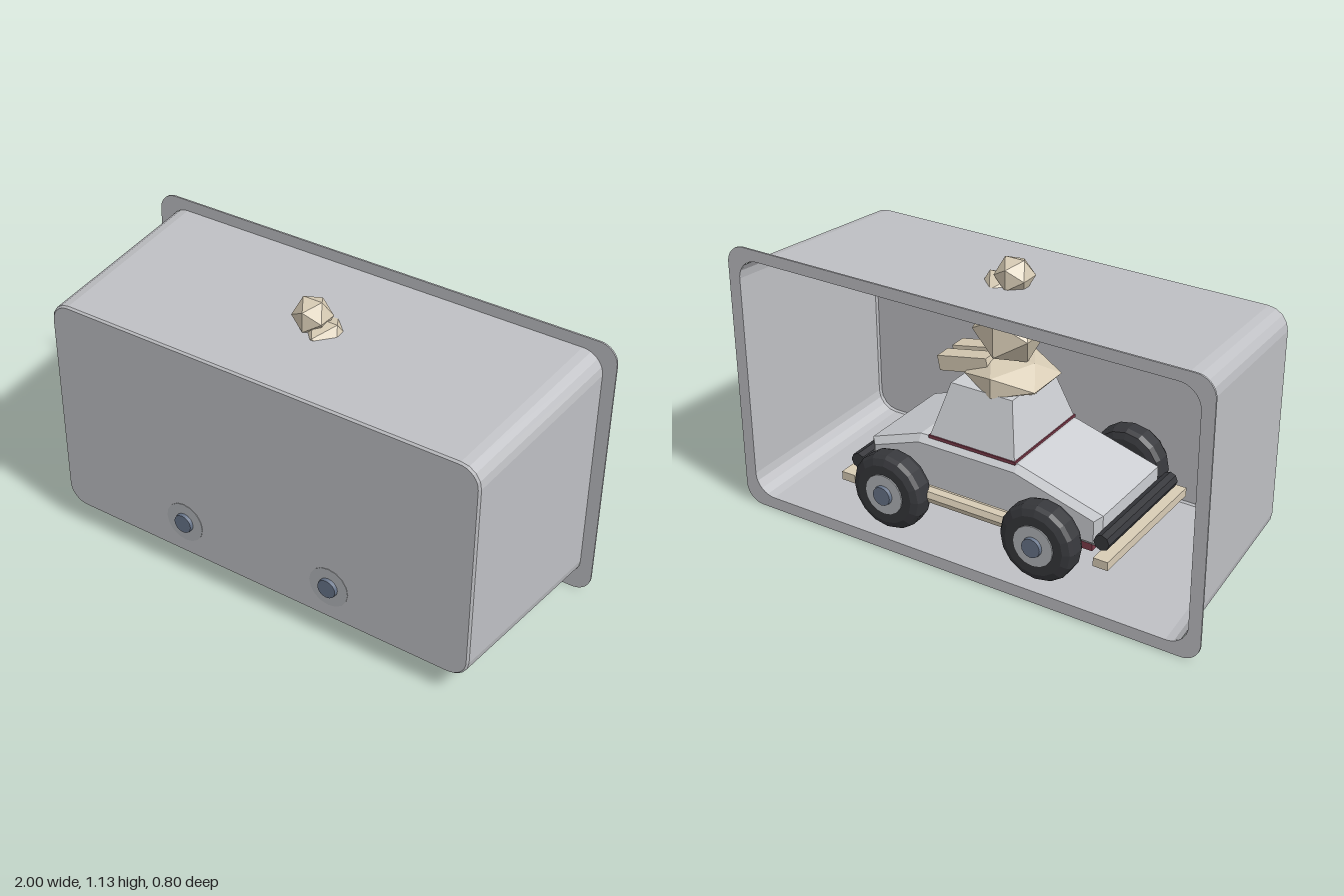
import * as THREE from 'three';

const mat = (name, color, double) => {
  const m = new THREE.MeshStandardMaterial({ color });
  m.name = name;
  if (double) m.side = THREE.DoubleSide;
  return m;
};

// faceted shading
const facet = (g) => {
  const f = g.index ? g.toNonIndexed() : g;
  f.computeVertexNormals();
  return f;
};

function roundedRect(target, w, h, r, cy) {
  const x = w / 2, y0 = cy - h / 2, y1 = cy + h / 2;
  target.moveTo(x, y0 + r);
  target.lineTo(x, y1 - r);
  target.absarc(x - r, y1 - r, r, 0, Math.PI / 2);
  target.absarc(-x + r, y1 - r, r, Math.PI / 2, Math.PI);
  target.absarc(-x + r, y0 + r, r, Math.PI, Math.PI * 1.5);
  target.absarc(x - r, y0 + r, r, Math.PI * 1.5, Math.PI * 2);
  return target;
}

// counter-clockwise rounded loop, always with the same number of points
function loop(w, h, r, cy, z) {
  const pts = [];
  [[1, 1], [-1, 1], [-1, -1], [1, -1]].forEach(([sx, sy], q) => {
    for (let i = 0; i <= 4; i++) {
      const a = (q + i / 4) * Math.PI / 2;
      pts.push([sx * (w / 2 - r) + r * Math.cos(a), cy + sy * (h / 2 - r) + r * Math.sin(a), z]);
    }
  });
  return pts;
}

// walls between loops ordered from back to front
function loft(loops) {
  const n = loops[0].length, index = [];
  for (let k = 0; k < loops.length - 1; k++) {
    for (let i = 0; i < n; i++) {
      const a = k * n + i, b = k * n + (i + 1) % n;
      index.push(a, b, b + n, a, b + n, a + n);
    }
  }
  const g = new THREE.BufferGeometry();
  g.setAttribute('position', new THREE.Float32BufferAttribute(loops.flat(2), 3));
  g.setIndex(index);
  return facet(g);
}

export function createModel() {
  const root = new THREE.Group();
  const M = {
    tray: mat('trayGrey', 0xbfc0c4, true),
    body: mat('bodyGrey', 0xcdcfd3),
    tan: mat('tan', 0xd9cdb6),
    black: mat('rubberBlack', 0x37383c),
    rim: mat('rimGrey', 0xb4b7bb),
    hub: mat('hubBlue', 0x68758a),
    maroon: mat('maroon', 0x7d3b4b),
  };
  const add = (parent, name, geometry, material, x = 0, y = 0, z = 0) => {
    const m = new THREE.Mesh(geometry, material);
    m.name = name;
    m.position.set(x, y, z);
    parent.add(m);
    return m;
  };

  // Tray: tapering walls, closed front, open back with a flat flange
  const tray = new THREE.Group();
  tray.name = 'tray';
  root.add(tray);
  const cy = 0.552;
  add(tray, 'trayWalls', loft([
    loop(1.9, 1.005, 0.085, cy, -0.38),
    loop(1.815, 0.914, 0.08, cy, 0.375),
    loop(1.8, 0.9, 0.075, cy, 0.383),
  ]), M.tray);
  add(tray, 'trayFront', new THREE.ShapeGeometry(roundedRect(new THREE.Shape(), 1.8, 0.9, 0.075, cy), 4), M.tray, 0, 0, 0.383);
  const flange = roundedRect(new THREE.Shape(), 2, 1.1, 0.075, 0.55);
  flange.holes.push(roundedRect(new THREE.Path(), 1.9, 1.005, 0.085, cy));
  add(tray, 'trayFlange', new THREE.ExtrudeGeometry(flange, { depth: 0.007, bevelEnabled: false, curveSegments: 6 }), M.tray, 0, 0, -0.384);

  // Car body: wedge-ended hull with bevelled edges
  const car = new THREE.Group();
  car.name = 'car';
  root.add(car);
  const b = 0.025;
  const profile = new THREE.Shape([
    [-0.485, 0.225], [0.475, 0.225], [0.475, 0.335], [0.27, 0.41], [-0.15, 0.41], [-0.485, 0.315],
  ].map(([x, y]) => new THREE.Vector2(x, y)));
  add(car, 'carBody', new THREE.ExtrudeGeometry(profile, {
    depth: 0.46 - 2 * b, bevelThickness: b, bevelSize: b, bevelSegments: 1,
  }), M.body, 0, 0, -0.23 + b);
  add(car, 'underside', new THREE.BoxGeometry(0.94, 0.03, 0.42), M.maroon, 0, 0.19, 0);
  add(car, 'cabinSeam', new THREE.BoxGeometry(0.38, 0.012, 0.43), M.maroon, 0.045, 0.438, 0);

  // Cabin: box with its top drawn in
  const cabin = new THREE.BoxGeometry(0.37, 0.205, 0.42);
  const cp = cabin.attributes.position;
  for (let i = 0; i < cp.count; i++) {
    if (cp.getY(i) > 0) cp.setXYZ(i, cp.getX(i) * 0.72, cp.getY(i), cp.getZ(i) * 0.68);
  }
  add(car, 'cabin', facet(cabin), M.body, 0.045, 0.545, 0);

  // Running boards, axles and bumpers
  const bar = (r, len, sides) => facet(new THREE.CylinderGeometry(r, r, len, sides));
  for (const s of [1, -1]) {
    add(car, 'runningBoard', bar(0.032, 0.5, 8), M.tan, 0, 0.245, s * 0.29).rotation.z = Math.PI / 2;
    add(car, 'axle', bar(0.025, 0.6, 8), M.black, s * 0.326, 0.24, 0).rotation.x = Math.PI / 2;
    add(car, 'bumper', bar(0.032, 0.52, 8), M.black, s * 0.535, 0.26, 0).rotation.x = Math.PI / 2;
    add(car, 'lowerBumper', new THREE.BoxGeometry(0.06, 0.035, 0.6), M.tan, s * 0.555, 0.2, 0);
  }

  // Wheels: bevelled tyre, pale rim disc, blue hub cap
  const tyre = facet(new THREE.LatheGeometry([
    [0, -0.055], [0.12, -0.055], [0.145, -0.045], [0.155, -0.025], [0.155, 0.025],
    [0.145, 0.04], [0.12, 0.052], [0, 0.052],
  ].map(([x, y]) => new THREE.Vector2(x, y)), 16));
  for (const sx of [1, -1]) {
    for (const sz of [1, -1]) {
      const wheel = new THREE.Group();
      wheel.name = 'wheel';
      wheel.position.set(sx * 0.326, 0.24, sz * 0.328);
      wheel.rotation.x = sz * Math.PI / 2;
      car.add(wheel);
      add(wheel, 'tyre', tyre, M.black);
      add(wheel, 'rim', new THREE.CylinderGeometry(0.083, 0.083, 0.02, 16), M.rim, 0, 0.047, 0);
      add(wheel, 'hubCap', new THREE.CylinderGeometry(0.038, 0.042, 0.03, 16), M.hub, 0, 0.056, 0);
    }
  }

  // Driver seated on the cabin roof, the head reaching through the tray top
  const driver = new THREE.Group();
  driver.name = 'driver';
  root.add(driver);
  const ball = (name, r, x, y, sy = 1) => {
    const m = add(driver, name, new THREE.IcosahedronGeometry(r, 0), M.tan, x, y, 0);
    m.scale.y = sy;
    return m;
  };
  ball('hips', 0.18, 0, 0.675, 0.42);
  ball('torso', 0.14, 0.01, 0.855);
  ball('head', 0.1, 0.045, 0.98);
  ball('hairBun', 0.076, -0.008, 1.07);
  for (const s of [1, -1]) {
    add(driver, 'leg', new THREE.BoxGeometry(0.22, 0.06, 0.07), M.tan, 0.165, 0.7, s * 0.05).rotation.z = -0.2;
  }
  return root;
}
